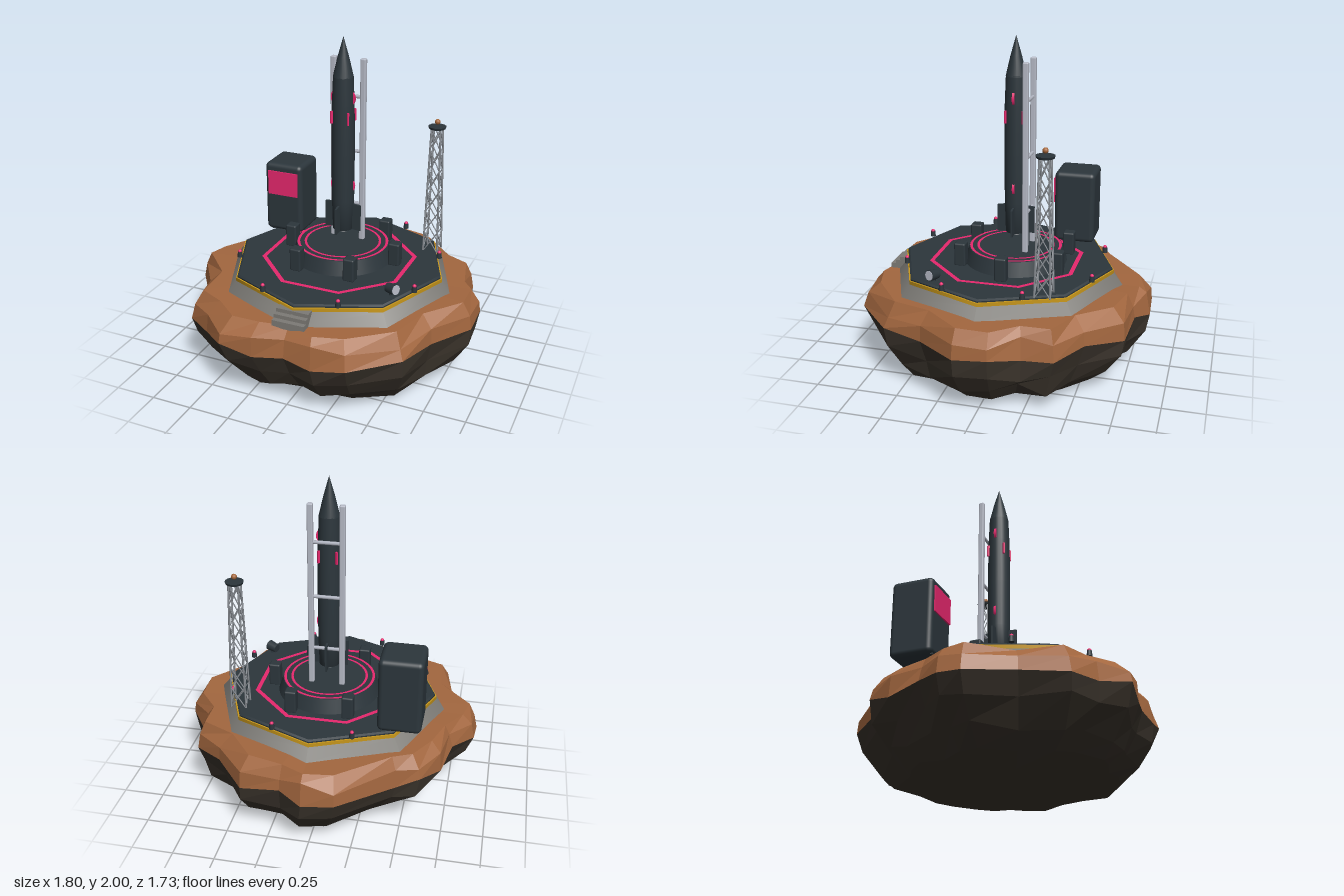
import * as THREE from 'three';
import { RoundedBoxGeometry } from 'three/addons/geometries/RoundedBoxGeometry.js';

const mat = (name, color) => Object.assign(new THREE.MeshStandardMaterial({ color }), { name });
const V = (x, y, z) => new THREE.Vector3(x, y, z);

export function createModel() {
  const root = new THREE.Group();
  root.name = 'launchSite';
  const dark = mat('darkPaint', 0x2c363c), pink = mat('pinkPaint', 0xe8286e);
  const soil = mat('brownRock', 0xa3673f), stone = mat('darkRock', 0x3b342c);
  const concrete = mat('concrete', 0x7d7b76), yellow = mat('yellowPaint', 0xcc9a1c);
  const light = mat('paleMetal', 0xb6bac6), metal = mat('greyMetal', 0x8c9197);
  const copper = mat('copperLamp', 0xa5673a);

  const add = (name, geo, m, x = 0, y = 0, z = 0, parent = root) => {
    const mesh = new THREE.Mesh(geo, m);
    mesh.name = name;
    mesh.position.set(x, y, z);
    parent.add(mesh);
    return mesh;
  };
  const rod = (name, a, b, r, m, parent = root) => {
    const d = b.clone().sub(a), mid = a.clone().add(b).multiplyScalar(0.5);
    const mesh = add(name, new THREE.CylinderGeometry(r, r, d.length(), 6), m, mid.x, mid.y, mid.z, parent);
    mesh.quaternion.setFromUnitVectors(V(0, 1, 0), d.normalize());
    return mesh;
  };

  // Floating rock: one plan outline, scaled and roughened level by level
  let seed = 11;
  const rnd = () => (seed = (seed * 16807) % 2147483647) / 2147483647 - 0.5;
  const outline = [
    [-0.17, -0.855], [0.02, -0.865], [0.16, -0.79], [0.40, -0.765], [0.585, -0.565], [0.765, -0.43],
    [0.78, -0.25], [0.90, -0.09], [0.90, 0.11], [0.735, 0.35], [0.65, 0.605], [0.40, 0.835],
    [0.195, 0.845], [0.02, 0.82], [-0.17, 0.845], [-0.37, 0.86], [-0.53, 0.725], [-0.69, 0.63],
    [-0.73, 0.365], [-0.90, 0.125], [-0.89, -0.01], [-0.77, -0.165], [-0.72, -0.36], [-0.615, -0.53],
    [-0.48, -0.575]];
  // scale, height, scale noise, height noise, shift in x
  const levels = [[0, 0.53, 0, 0, 0], [0.91, 0.525, 0.06, 0.01, 0], [0.98, 0.46, 0.03, 0.06, 0],
    [1, 0.36, 0, 0.05, 0], [0.955, 0.24, 0.06, 0.06, 0.015], [0.86, 0.125, 0.07, 0.05, 0.04],
    [0.74, 0.045, 0.06, 0.03, 0.06], [0.56, 0, 0.04, 0, 0.08], [0, 0, 0, 0, 0.08]];
  const rings = levels.map(([s, y, ns, ny, dx]) => outline.map(([x, z]) => {
    const k = s + rnd() * ns;
    return [x * k + dx, y + rnd() * ny, z * k];
  }));
  const loft = (list) => {
    const p = [], n = outline.length;
    for (let j = 0; j + 1 < list.length; j++) for (let i = 0; i < n; i++) {
      const k = (i + 1) % n, U = list[j], L = list[j + 1];
      if (U[i][0] !== U[k][0] || U[i][2] !== U[k][2]) p.push(...U[i], ...U[k], ...L[k]);
      if (L[i][0] !== L[k][0] || L[i][2] !== L[k][2]) p.push(...U[i], ...L[k], ...L[i]);
    }
    const g = new THREE.BufferGeometry();
    g.setAttribute('position', new THREE.Float32BufferAttribute(p, 3));
    g.computeVertexNormals();
    return g;
  };
  add('rockTop', loft(rings.slice(0, 4)), soil);
  add('rockUnderside', loft(rings.slice(3)), stone);

  // Octagonal platform
  const cx = 0.022, cz = 0.027, pz = -0.027;
  const octagon = (name, rt, rb, y0, y1, m) =>
    add(name, new THREE.CylinderGeometry(rt, rb, y1 - y0, 8), m, cx, (y0 + y1) / 2, cz);
  octagon('plinth', 0.662, 0.72, 0.52, 0.593, concrete);
  octagon('hazardEdge', 0.664, 0.664, 0.592, 0.614, yellow);
  octagon('deck', 0.655, 0.655, 0.6, 0.622, dark);
  octagon('deckTop', 0.643, 0.655, 0.622, 0.63, dark);
  const ring = (name, ri, ro, n, start, y, z) => {
    const g = new THREE.RingGeometry(ri, ro, n, 1, start);
    add(name, g.rotateX(-Math.PI / 2), pink, cx, y, z);
  };
  ring('deckMarking', 0.452, 0.48, 8, Math.PI / 8, 0.633, cz);

  // Steps up to the platform
  for (let i = 0; i < 3; i++) {
    const top = 0.553 + i * 0.023, z1 = 0.76 - i * 0.03;
    add('step', new THREE.BoxGeometry(0.2, top - 0.51, z1 - 0.62), concrete, cx, (top + 0.51) / 2, (z1 + 0.62) / 2);
  }

  // Edge lamps
  for (let i = 0; i < 8; i++) {
    const a = Math.PI / 8 + i * Math.PI / 4, x = cx + 0.617 * Math.cos(a), z = cz + 0.617 * Math.sin(a);
    add('lampBase', new THREE.CylinderGeometry(0.014, 0.017, 0.034, 10), dark, x, 0.644, z);
    add('lampDome', new THREE.SphereGeometry(0.012, 10, 8), pink, x, 0.663, z);
  }

  // Launch pedestal with rings and clamp blocks
  add('pedestal', new THREE.CylinderGeometry(0.286, 0.315, 0.09, 40), dark, cx, 0.672, pz);
  ring('outerPadRing', 0.266, 0.282, 48, 0, 0.72, pz);
  ring('innerPadRing', 0.223, 0.238, 48, 0, 0.72, pz);
  for (let i = 0; i < 6; i++) {
    const a = i * Math.PI / 3;
    add('clampBlock', new RoundedBoxGeometry(0.07, 0.145, 0.07, 2, 0.01), dark,
      cx + 0.345 * Math.cos(a), 0.697, pz + 0.345 * Math.sin(a));
  }

  // Rocket
  const rocket = new THREE.Group();
  rocket.name = 'rocket';
  rocket.position.set(cx, 0, pz);
  root.add(rocket);
  const profile = (pts) => new THREE.LatheGeometry(pts.map(([r, y]) => new THREE.Vector2(r, y)), 20);
  add('rocketBody', profile([[0, 0.81], [0.062, 0.81], [0.068, 1.0], [0.07, 1.3], [0.067, 1.6], [0.06, 1.77]]), dark, 0, 0, 0, rocket);
  add('noseCone', profile([[0.061, 1.765], [0.034, 1.88], [0, 2.0]]), dark, 0, 0, 0, rocket);
  add('nozzle', new THREE.CylinderGeometry(0.025, 0.036, 0.02, 16), dark, 0, 0.803, 0, rocket);
  const finShape = new THREE.Shape([[0.05, 0.81], [0.115, 0.805], [0.115, 0.972], [0.05, 0.98]].map((p) => new THREE.Vector2(...p)));
  for (let i = 0; i < 4; i++) {
    const g = new THREE.ExtrudeGeometry(finShape, { depth: 0.012, bevelEnabled: false });
    add('fin', g.translate(0, 0, -0.006), dark, 0, 0, 0, rocket).rotation.y = i * Math.PI / 2;
    const a = Math.PI / 4 + i * Math.PI / 2;
    add('bodyStripe', new THREE.BoxGeometry(0.024, 0.075, 0.0095), pink,
      0.069 * Math.cos(a), 1.528, -0.069 * Math.sin(a), rocket).rotation.y = a;
  }
  // Slim discs set edge-on into both flanks
  for (const s of [-1, 1]) for (const y of [1.64, 1.095]) {
    add('sideDisc', new THREE.CylinderGeometry(0.055, 0.055, 0.014, 28).rotateX(Math.PI / 2), pink, s * 0.022, y, 0, rocket);
  }

  // Service gantry behind the rocket
  for (const x of [-0.072, 0.116]) {
    add('gantryColumn', new RoundedBoxGeometry(0.034, 1.15, 0.034, 2, 0.008), light, x, 1.287, -0.108);
  }
  for (const y of [1.63, 1.29, 0.95]) rod('gantryRung', V(-0.072, y, -0.108), V(0.116, y, -0.108), 0.011, light);

  // Equipment cabinet
  add('cabinet', new RoundedBoxGeometry(0.258, 0.465, 0.258, 4, 0.03), dark, -0.468, 0.857, -0.316);
  add('cabinetPanel', new THREE.BoxGeometry(0.205, 0.16, 0.0095), pink, -0.467, 0.96, -0.183);

  // Lattice mast
  const mast = new THREE.Group();
  mast.name = 'latticeMast';
  mast.position.set(0.512, 0, -0.315);
  root.add(mast);
  const corner = (i, t) => {
    const h = 0.046 - 0.018 * t;
    return V(i % 4 === 0 || i % 4 === 3 ? h : -h, 0.625 + 0.81 * t, i % 4 < 2 ? h : -h);
  };
  const bays = 6;
  for (let i = 0; i < 4; i++) {
    rod('mastLeg', corner(i, 0), corner(i, 1), 0.0055, metal, mast);
    for (let j = 0; j < bays; j++) {
      const t0 = j / bays, t1 = (j + 1) / bays;
      rod('mastBrace', corner(i, t0), corner(i + 1, t1), 0.0035, metal, mast);
      rod('mastBrace', corner(i + 1, t0), corner(i, t1), 0.0035, metal, mast);
    }
  }
  add('mastPlatform', new THREE.CylinderGeometry(0.055, 0.05, 0.014, 12), dark, 0, 1.434, 0, mast);
  add('mastLamp', new THREE.SphereGeometry(0.017, 14, 10), copper, 0, 1.468, 0, mast);

  // Floodlight on the deck
  const flood = new THREE.Group();
  flood.name = 'floodlight';
  flood.position.set(0.485, 0.668, 0.35);
  flood.quaternion.setFromUnitVectors(V(0, 1, 0), V(0.88, 0.12, 0.42).normalize());
  root.add(flood);
  add('floodHousing', new THREE.CylinderGeometry(0.034, 0.028, 0.065, 16), dark, 0, 0, 0, flood);
  add('floodLens', new THREE.CylinderGeometry(0.029, 0.029, 0.006, 16), light, 0, 0.033, 0, flood);
  add('floodStand', new THREE.CylinderGeometry(0.012, 0.016, 0.035, 10), dark, 0.485, 0.643, 0.35);

  return root;
}
